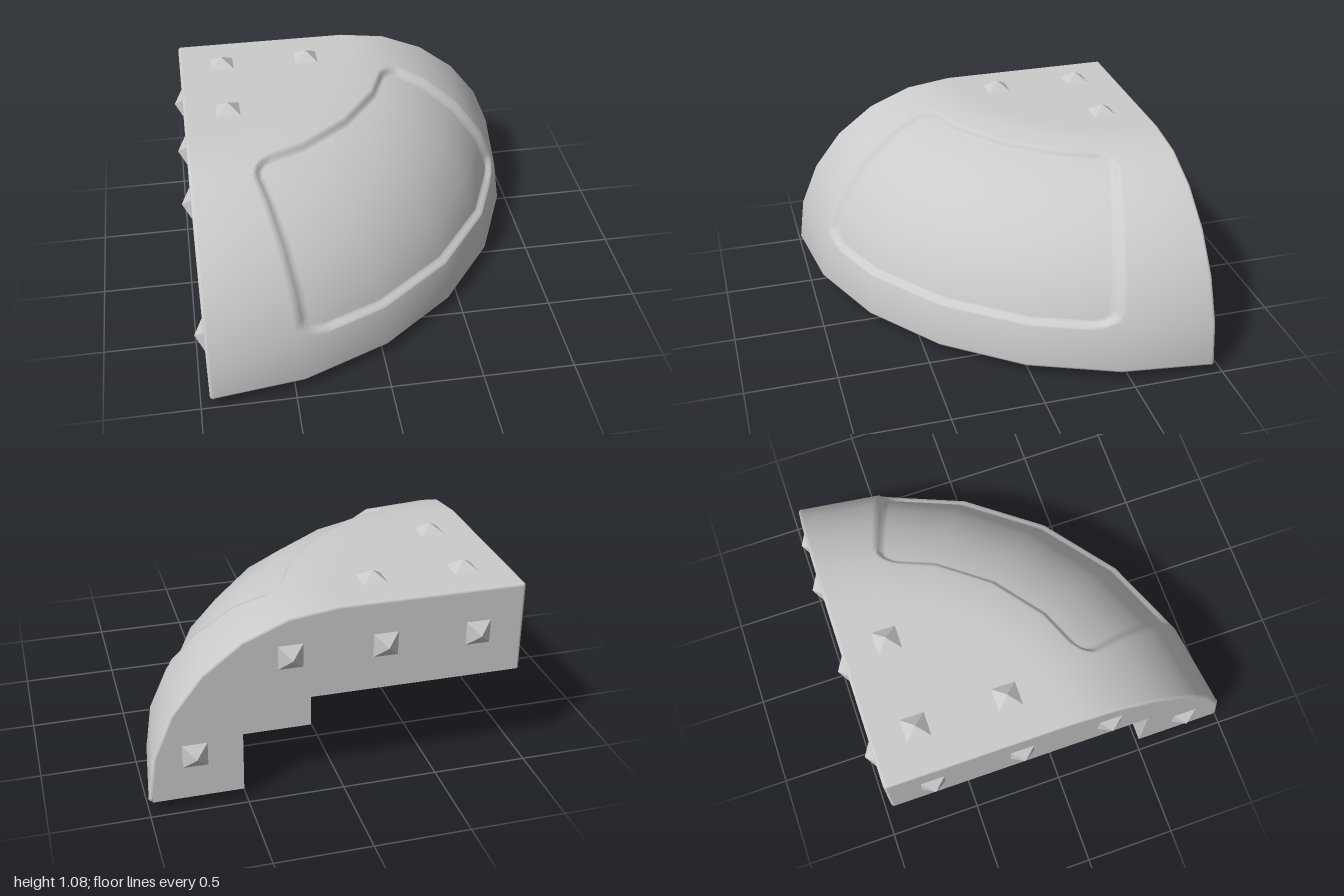
import * as THREE from 'three';

const C = 0.4875;          // cell size of the modular grid
const R = 2 * C;           // profile radius and flat-top radius
const Y0 = 0.05;           // underside height
const B = 0.018;           // edge rounding
const DEPTH = 0.03;        // panel recess
const RAD = Math.PI / 180;
const V = (x, y, z) => new THREE.Vector3(x, y, z);

// position on a 24-sided circle (straight between 15 degree corners)
function facet(deg) {
  const k = Math.min(5, Math.floor(deg / 15)), f = deg / 15 - k;
  const a = k * 15 * RAD, b = a + 15 * RAD;
  return [Math.cos(a) * (1 - f) + Math.cos(b) * f, Math.sin(a) * (1 - f) + Math.sin(b) * f];
}

// recess height: rounded rectangle from 15 to 75 degrees both ways
function recess(t, p) {
  const rad = 6;
  const qx = Math.abs(t - 45) - 30 + rad, qy = Math.abs(p - 45) - 30 + rad;
  const sd = Math.hypot(Math.max(qx, 0), Math.max(qy, 0)) + Math.min(Math.max(qx, qy), 0) - rad;
  return -DEPTH * THREE.MathUtils.clamp(-sd / 1.5, 0, 1);
}

// dome shell with recessed panel, flat top and rounded rim, as one grid
function domeGeometry() {
  const cols = [], rows = [];
  const lines = Array.from({ length: 121 }, (_, i) => i * 0.75);
  for (const a of [90, 60, 30]) {
    cols.push({ t: 0, a, side: V(0, 0, -1) });
    rows.push({ p: 0, c: a, r: R });
  }
  for (const d of lines) {
    cols.push({ t: d, a: 0, side: V(0, 0, 0) });
    rows.push({ p: d, c: 0, r: R });
  }
  for (const a of [30, 60, 90]) cols.push({ t: 90, a, side: V(-1, 0, 0) });
  for (const f of [0.75, 0.5, 0.25, 0]) rows.push({ p: 90, c: 0, r: R * f });

  const pos = [], nor = [], idx = [], n = rows.length, e = 0.4;
  for (const { t, a, side } of cols) {
    const [ct, st] = facet(t), ca = Math.cos(t * RAD), sa = Math.sin(t * RAD);
    for (const { p, c, r } of rows) {
      const [cp, sp] = facet(p), cq = Math.cos(p * RAD), sq = Math.sin(p * RAD);
      const N = V(ca * cq, sq, sa * cq);
      const rr = r + R * cp;
      const P = V(rr * ct, Y0 + R * sp, rr * st).addScaledVector(N, recess(t, p));
      P.set(Math.max(P.x, B), Math.max(P.y, Y0 + B), Math.max(P.z, B));
      const slope = (h1, h0, len) => (h0 - h1) / (2 * e * RAD * len);
      const shade = N.clone()
        .addScaledVector(V(-sa, 0, ca), slope(recess(t + e, p), recess(t - e, p), Math.max(rr, 0.5)))
        .addScaledVector(V(-ca * sq, cq, -sa * sq), slope(recess(t, p + e), recess(t, p - e), R));
      const k = Math.cos(c * RAD);
      const round = (v) => v.multiplyScalar(Math.cos(a * RAD) * k)
        .addScaledVector(side, Math.sin(a * RAD) * k).add(V(0, -Math.sin(c * RAD), 0));
      const dir = round(N.clone());
      P.addScaledVector(dir, B).addScaledVector(N, -B);
      pos.push(P.x, P.y, P.z);
      nor.push(...round(shade).normalize().toArray());
    }
  }
  for (let i = 0; i < cols.length - 1; i++) {
    for (let j = 0; j < n - 1; j++) {
      const q = i * n + j;
      idx.push(q, q + 1, q + n, q + 1, q + n + 1, q + n);
    }
  }
  const g = new THREE.BufferGeometry();
  g.setAttribute('position', new THREE.Float32BufferAttribute(pos, 3));
  g.setAttribute('normal', new THREE.Float32BufferAttribute(nor, 3));
  g.setIndex(idx);
  return g;
}

const flatShape = (pts) => new THREE.ShapeGeometry(new THREE.Shape(pts.map(([x, y]) => new THREE.Vector2(x, y))));

export function createModel() {
  const root = new THREE.Group();
  const body = new THREE.Group();       // corner of the block sits at the local origin
  body.position.set(-0.95, 0, -0.95);
  root.add(body);
  const mat = new THREE.MeshStandardMaterial({ color: 0xcccccc });
  const spikeMat = new THREE.MeshStandardMaterial({ color: 0xcccccc, flatShading: true });
  const add = (name, geo, m = mat) => {
    const mesh = new THREE.Mesh(geo, m);
    mesh.name = name;
    body.add(mesh);
    return mesh;
  };

  add('domeShell', domeGeometry());

  // two flat back faces, notched below the first three cells
  const outline = [[B, Y0 + C], [3 * C, Y0 + C], [3 * C, Y0]];
  for (let k = 0; k <= 6; k++) {
    const a = k * 15 * RAD;
    outline.push([R + (R - B) * Math.cos(a), Y0 + (R - B) * Math.sin(a)]);
  }
  outline.push([B, Y0 + R - B]);
  add('rearFace', flatShape(outline.map(([s, y]) => [-s, y])).rotateY(Math.PI));
  add('sideFace', flatShape(outline).rotateY(-Math.PI / 2));

  // rounded vertical corner between the back faces
  const h = C - B;
  add('cornerEdge', new THREE.CylinderGeometry(B, B, h, 6, 1, true, Math.PI, Math.PI / 2)
    .translate(B, Y0 + C + h / 2, B));
  add('cornerTip', new THREE.SphereGeometry(B, 12, 6, 0, Math.PI * 2, 0, Math.PI / 2)
    .translate(B, Y0 + R - B, B));

  // stepped underside: foot outline follows the rim, ceiling fills the notch
  const stairs = [[0, 3], [1, 3], [1, 2], [2, 2], [2, 1], [3, 1], [3, 0]].map(([x, z]) => [x * C, z * C]);
  const rim = [];
  for (let k = 0; k <= 6; k++) {
    const a = k * 15 * RAD;
    rim.push([(2 * R - B) * Math.cos(a), (2 * R - B) * Math.sin(a)]);
  }
  add('foot', flatShape([...stairs, ...rim]).rotateX(Math.PI / 2).translate(0, Y0, 0));
  add('ceiling', flatShape([[0, 0], ...stairs]).rotateX(Math.PI / 2).translate(0, Y0 + C, 0));

  // small pyramids, one per exposed cell face
  const spikeGeo = new THREE.ConeGeometry(0.064 * Math.SQRT2, 0.05, 4, 1).rotateY(Math.PI / 4).translate(0, 0.025, 0);
  const up = V(0, 1, 0), down = V(0, -1, 0), back = V(0, 0, -1), side = V(-1, 0, 0);
  const spike = (x, y, z, dir) => {
    const m = add('spike', spikeGeo, spikeMat);
    m.position.set(x * C, Y0 + y * C, z * C);
    m.quaternion.setFromUnitVectors(up, dir);
  };
  for (const [i, j] of [[0, 0], [1, 0], [0, 1]]) spike(i + 0.5, 2, j + 0.5, up);
  for (let i = 0; i < 4; i++) {
    const y = i < 3 ? 1.5 : 0.5, j = 3 - i;
    spike(i + 0.5, y, 0, back);
    spike(0, y, i + 0.5, side);
    spike(i + 0.5, 0, j + 0.5, down);
    for (let k = 0; k < j; k++) spike(i + 0.5, 1, k + 0.5, down);
    // inner stair walls with their pyramids
    if (j > 0) {
      add('stairWall', new THREE.PlaneGeometry(C, C).rotateY(Math.PI)
        .translate((i + 0.5) * C, Y0 + C / 2, j * C));
      spike(i + 0.5, 0.5, j, back);
    }
    if (i > 0) {
      add('stairWall', new THREE.PlaneGeometry(C, C).rotateY(-Math.PI / 2)
        .translate(i * C, Y0 + C / 2, (j + 0.5) * C));
      spike(i, 0.5, j + 0.5, side);
    }
  }
  spike(2.5, 0, 2.5, down);
  return root;
}
